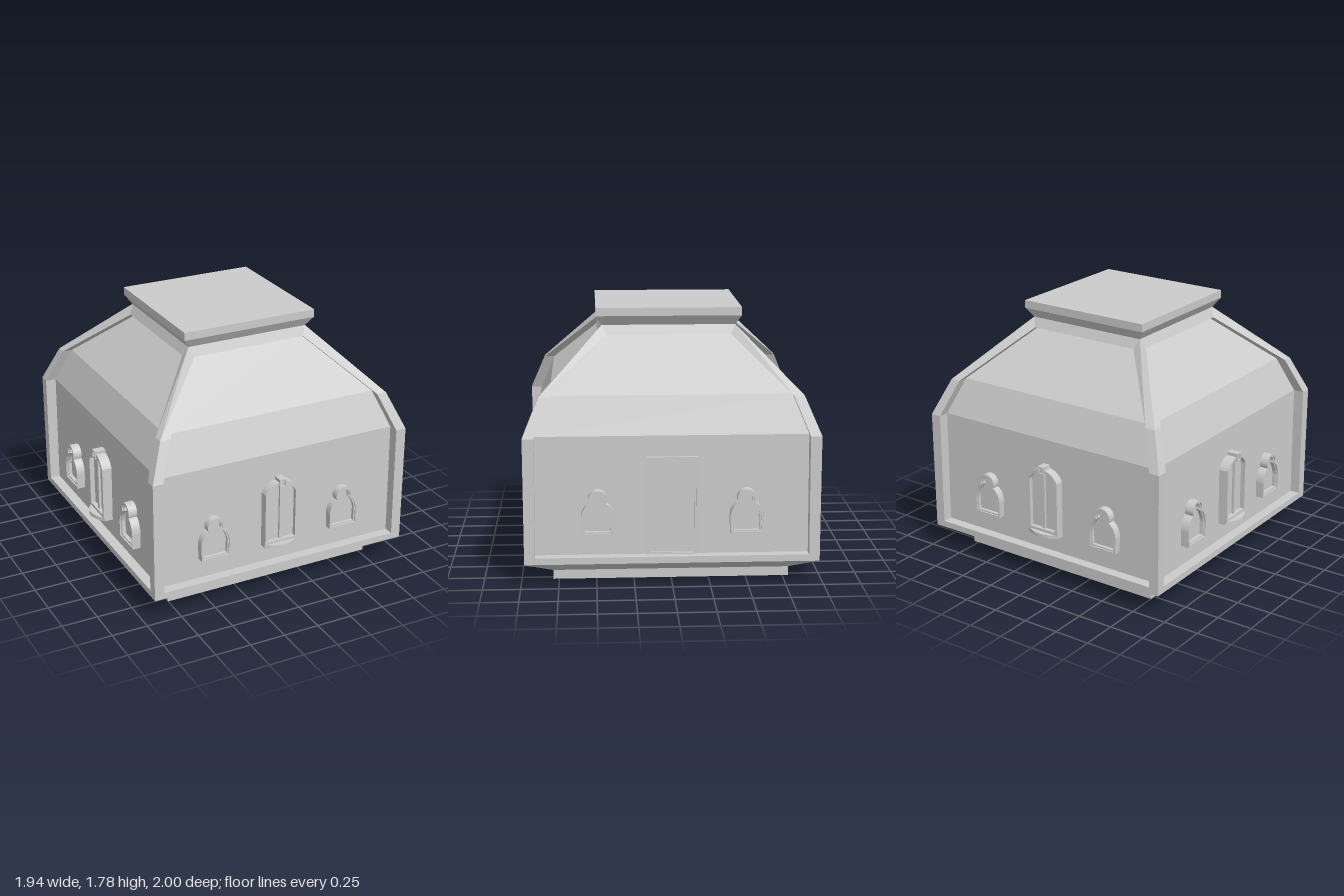
import * as THREE from 'three';

const mat = new THREE.MeshStandardMaterial({ color: 0xcccccc, flatShading: true });

function add(parent, name, geometry, x = 0, y = 0, z = 0) {
  const mesh = new THREE.Mesh(geometry, mat);
  mesh.name = name;
  mesh.position.set(x, y, z);
  parent.add(mesh);
  return mesh;
}

// Four-sided block whose bottom and top half sizes differ
function tier(y0, y1, [bx, bz], [tx, tz]) {
  const g = new THREE.BoxGeometry(2, 1, 2);
  const p = g.attributes.position;
  for (let i = 0; i < p.count; i++) {
    const top = p.getY(i) > 0;
    p.setXYZ(i, p.getX(i) * (top ? tx : bx), top ? y1 : y0, p.getZ(i) * (top ? tz : bz));
  }
  g.computeVertexNormals();
  return g;
}

const extrude = (shape, depth) =>
  new THREE.ExtrudeGeometry(shape, { depth, bevelEnabled: false, curveSegments: 8 });

function ring(outline, outer, inner) {
  const s = outline(outer);
  s.holes.push(outline(inner));
  return s;
}

// Wall profile: height, half width and distance of outer frame, inner frame edge, sunk panel
const OUT_Y = [0.155, 1, 1.25, 1.665], IN_Y = [0.2, 1, 1.25, 1.6];
const HALF_X = { out: [0.95, 0.95, 0.845, 0.44], edge: [0.95, 0.95, 0.845, 0.47], panel: [0.88, 0.875, 0.775, 0.41] };
const HALF_Z = { out: [0.975, 0.975, 0.87, 0.45], edge: [0.975, 0.975, 0.87, 0.48], panel: [0.905, 0.9, 0.8, 0.42] };

// One framed wall and roof face, looking along +z
function wallGeometry(across, away) {
  const v = [];
  const loop = (w, y, d) => w.map((a, i) => [[-a, y[i], d[i]], [a, y[i], d[i]]]);
  const O = loop(across.out, OUT_Y, away.out);
  const I = loop(across.panel, IN_Y, away.edge);
  const P = loop(across.panel, IN_Y, away.panel);
  const quad = (a, b, c, d) => v.push(...a, ...b, ...c, ...a, ...c, ...d);
  for (const [A, B] of [[O, I], [I, P]]) {
    quad(A[0][0], A[0][1], B[0][1], B[0][0]);
    quad(B[3][0], B[3][1], A[3][1], A[3][0]);
    for (let i = 0; i < 3; i++) {
      quad(A[i][0], B[i][0], B[i + 1][0], A[i + 1][0]);
      quad(B[i][1], A[i][1], A[i + 1][1], B[i + 1][1]);
    }
  }
  for (let i = 0; i < 3; i++) quad(P[i][0], P[i][1], P[i + 1][1], P[i + 1][0]);
  const g = new THREE.BufferGeometry();
  g.setAttribute('position', new THREE.Float32BufferAttribute(v, 3));
  g.computeVertexNormals();
  return g;
}

// Keyhole-shaped outline, inset by i
function keyhole(i) {
  const w = 0.11 - i, r = 0.062 - i, y0 = 0.345 + i, a = 0.45;
  const nx = r * Math.cos(a), ny = 0.585 - r * Math.sin(a);
  const s = new THREE.Shape();
  s.moveTo(-w + 0.004, y0);
  s.lineTo(w - 0.004, y0);
  s.lineTo(w, 0.46);
  s.quadraticCurveTo(w - 0.005, 0.53 - i * 0.5, nx, ny);
  s.absarc(0, 0.585, r, -a, Math.PI + a, false);
  s.quadraticCurveTo(-w + 0.005, 0.53 - i * 0.5, -w, 0.46);
  s.closePath();
  return s;
}

// Low-arched outline, inset by i
function arched(i) {
  const w = 0.125 - i, s = new THREE.Shape();
  s.moveTo(-w, 0.35 + i);
  s.lineTo(w, 0.35 + i);
  s.lineTo(w, 0.73 - i * 0.5);
  s.quadraticCurveTo(w * 0.75, 0.803 - i, 0, 0.808 - i);
  s.quadraticCurveTo(-w * 0.75, 0.803 - i, -w, 0.73 - i * 0.5);
  s.closePath();
  return s;
}

function rect(x0, x1, y0, y1) {
  const s = new THREE.Shape();
  s.moveTo(x0, y0);
  s.lineTo(x1, y0);
  s.lineTo(x1, y1);
  s.lineTo(x0, y1);
  s.closePath();
  return s;
}
const doorOutline = (i) => rect(-0.172 + i, 0.172 - i, 0.2 + i * 0.5, 0.86 - i);

function smallWindow() {
  const g = new THREE.Group();
  g.name = 'smallWindow';
  add(g, 'windowFrame', extrude(ring(keyhole, 0, 0.012), 0.052));
  add(g, 'windowInnerFrame', extrude(ring(keyhole, 0.012, 0.022), 0.043));
  add(g, 'windowPane', extrude(keyhole(0.022), 0.02));
  return g;
}

function tallWindow() {
  const g = new THREE.Group();
  g.name = 'tallWindow';
  add(g, 'windowFrame', extrude(ring(arched, 0, 0.022), 0.058));
  add(g, 'windowPane', extrude(arched(0.022), 0.03));
  add(g, 'mullion', new THREE.BoxGeometry(0.022, 0.41, 0.045), 0, 0.575, 0.0225);
  // Keystone with a small sunk face
  const key = (i) => rect(-0.025 + i, 0.025 - i, 0.77 + i, 0.828 - i);
  add(g, 'keystone', extrude(ring(key, 0, 0.01), 0.066));
  add(g, 'keystoneFace', extrude(key(0.01), 0.055));
  // Bowed sill
  const sill = new THREE.Shape();
  sill.moveTo(-0.125, 0);
  sill.lineTo(0.125, 0);
  sill.lineTo(0.125, -0.05);
  sill.quadraticCurveTo(0, -0.14, -0.125, -0.05);
  sill.closePath();
  add(g, 'sill', extrude(sill, 0.025), 0, 0.328, 0).rotation.x = -Math.PI / 2;
  return g;
}

function door() {
  const g = new THREE.Group();
  g.name = 'door';
  add(g, 'doorFrame', extrude(ring(doorOutline, 0, 0.014), 0.018));
  add(g, 'doorInnerFrame', extrude(ring(doorOutline, 0.014, 0.026), 0.012));
  add(g, 'doorLeaf', extrude(doorOutline(0.026), 0.003));
  for (const [x, w] of [[-0.12, 0.05], [0, 0.072], [0.12, 0.05]])
    add(g, 'doorPlank', new THREE.BoxGeometry(w, 0.615, 0.01), x, 0.525, 0.005);
  return g;
}

export function createModel() {
  const model = new THREE.Group();
  model.name = 'house';
  const house = new THREE.Group();
  house.name = 'building';
  house.position.x = 0.02;
  model.add(house);

  // Base and roof cap
  add(house, 'plinth', tier(0, 0.062, [0.77, 0.79], [0.77, 0.79]));
  add(house, 'baseFlare', tier(0.062, 0.155, [0.77, 0.79], [0.95, 0.975]));
  add(house, 'capFlare', tier(1.665, 1.73, [0.44, 0.45], [0.485, 0.49]));
  add(house, 'capSlab', tier(1.73, 1.785, [0.485, 0.49], [0.485, 0.49]));

  // Four walls: front, left, back, right; the door is on the +x wall
  for (let k = 0; k < 4; k++) {
    const onX = k % 2 === 1;
    const across = onX ? HALF_Z : HALF_X, away = onX ? HALF_X : HALF_Z;
    const side = new THREE.Group();
    side.name = ['frontSide', 'leftSide', 'backSide', 'rightSide'][k];
    side.rotation.y = k * Math.PI / 2;
    house.add(side);
    add(side, 'wallAndRoof', wallGeometry(across, away));

    const fittings = new THREE.Group();
    fittings.name = 'fittings';
    fittings.position.z = away.panel[0] - 0.004;
    fittings.scale.z = onX ? 1.22 : 1.05;
    side.add(fittings);
    for (const s of [-1, 1]) {
      const w = smallWindow();
      w.position.x = s * 0.49;
      fittings.add(w);
    }
    fittings.add(k === 1 ? door() : tallWindow());
  }
  return model;
}
